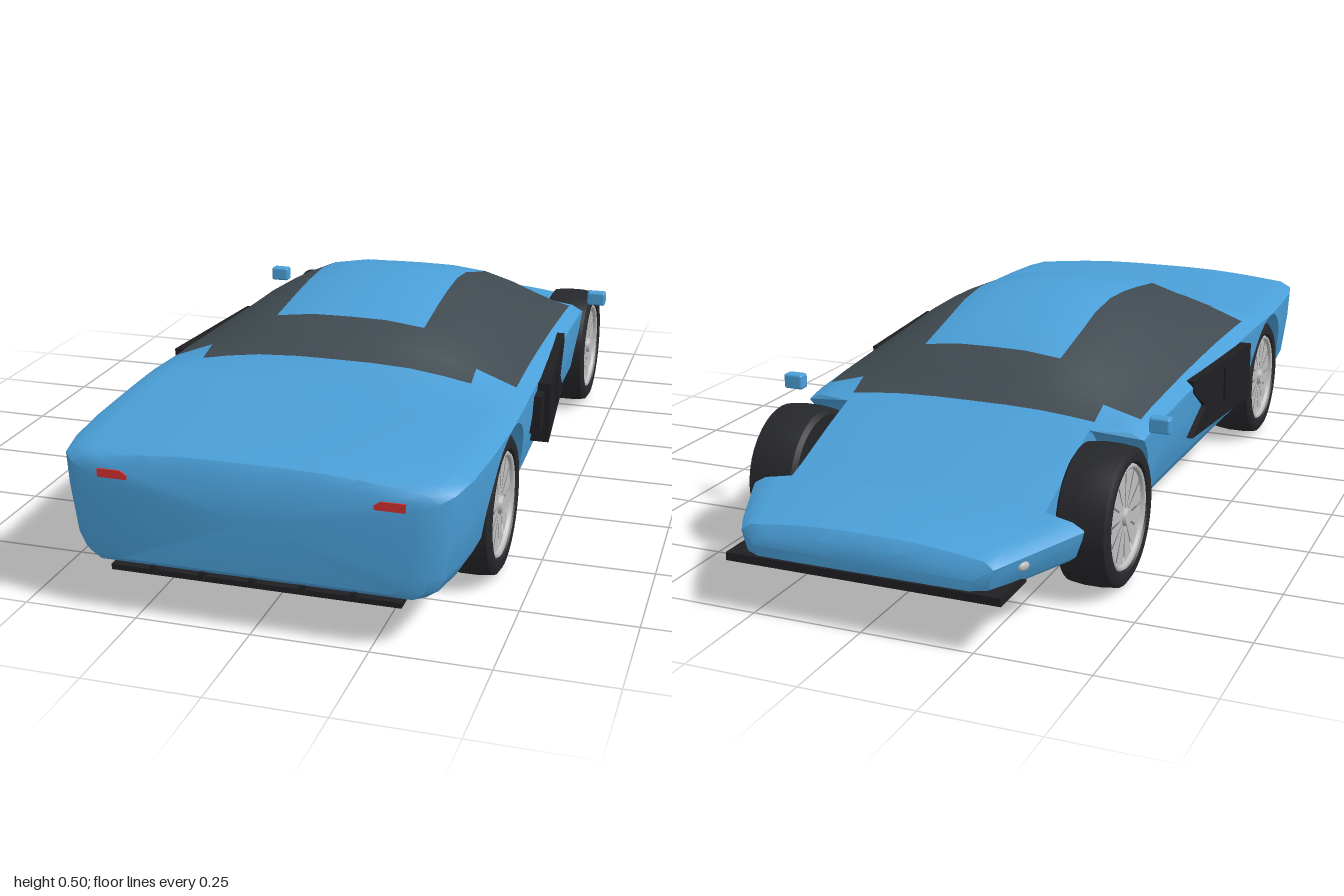
import * as THREE from 'three';
import { toCreasedNormals } from 'three/addons/utils/BufferGeometryUtils.js';
import { RoundedBoxGeometry } from 'three/addons/geometries/RoundedBoxGeometry.js';

const mat = (name, color) => {
  const m = new THREE.MeshStandardMaterial({ color });
  m.name = name;
  return m;
};

// Body stations: z, half width, shoulder height, top height, underside
const KEYS = [
  [-0.992, 0.25, 0.165, 0.185, 0.118], [-0.975, 0.285, 0.185, 0.205, 0.112],
  [-0.93, 0.31, 0.19, 0.212, 0.11], [-0.756, 0.39, 0.198, 0.22, 0.11],
  [-0.7, 0.4, 0.215, 0.24, 0.11], [-0.57, 0.41, 0.27, 0.288, 0.11],
  [-0.455, 0.418, 0.305, 0.335, 0.11], [-0.4, 0.42, 0.315, 0.375, 0.11],
  [-0.33, 0.422, 0.32, 0.43, 0.11], [-0.2, 0.425, 0.327, 0.465, 0.11],
  [-0.1, 0.427, 0.332, 0.493, 0.11], [0, 0.43, 0.337, 0.505, 0.11],
  [0.1, 0.432, 0.342, 0.5, 0.11], [0.2, 0.434, 0.346, 0.488, 0.11],
  [0.325, 0.438, 0.35, 0.47, 0.11], [0.39, 0.44, 0.352, 0.44, 0.11],
  [0.445, 0.442, 0.353, 0.405, 0.11], [0.52, 0.443, 0.352, 0.372, 0.11],
  [0.6, 0.443, 0.35, 0.366, 0.11], [0.75, 0.437, 0.35, 0.369, 0.11],
  [0.87, 0.427, 0.348, 0.37, 0.11], [0.95, 0.41, 0.345, 0.368, 0.11],
  [0.975, 0.385, 0.335, 0.36, 0.113], [0.987, 0.34, 0.32, 0.342, 0.125],
];
// Upper section: fraction of half width, fraction of rise above the shoulder
const DOME = [[0, 1], [0.2, 0.99], [0.407, 0.9], [0.58, 0.7], [0.72, 0.48], [0.84, 0.25], [0.93, 0.08]];
const AXLES = [-0.575, 0.575], ARCH = 0.18, WHEEL_Y = 0.155;

function keyAt(z) {
  let i = 0;
  while (i < KEYS.length - 2 && KEYS[i + 1][0] < z) i++;
  const t = THREE.MathUtils.clamp((z - KEYS[i][0]) / (KEYS[i + 1][0] - KEYS[i][0]), 0, 1);
  return KEYS[i].map((v, k) => v + (KEYS[i + 1][k] - v) * t);
}

// Half section from top centre round to bottom centre, cut by the wheel arch
function section(z, axle) {
  const [, w, s, t, b] = keyAt(z);
  const raw = DOME.map(([f, d]) => [f * w, s + d * (t - s)]);
  raw.push([w, s - 0.014], [0.99 * w, s - 0.35 * (s - b)], [0.955 * w, b + 0.2 * (s - b)],
    [0.92 * w, b + 0.07 * (s - b)], [0.86 * w, b]);
  const xi = Math.min(0.3, 0.8 * w);
  if (axle === null) return [...raw, [xi, b], [xi, b], [0, b]];
  const h = WHEEL_Y + Math.sqrt(Math.max(0, ARCH * ARCH - (z - axle) ** 2));
  let cut = null;
  const pts = raw.map((p, i) => {
    if (!cut && p[0] > xi && p[1] < h) {
      const q = raw[i - 1];
      let k = q[1] > h ? (q[1] - h) / (q[1] - p[1]) : 0;
      if (q[0] < xi) k = Math.max(k, (xi - q[0]) / (p[0] - q[0]));
      cut = [q[0] + (p[0] - q[0]) * k, q[1] + (p[1] - q[1]) * k];
    }
    return cut || p;
  });
  return [...pts, [xi, Math.min(h, cut ? cut[1] : b)], [xi, b], [0, b]];
}

function bodyGeometry() {
  const stations = [];
  for (const a of AXLES) {
    stations.push([a - ARCH - 1e-4, null], [a + ARCH + 1e-4, null]);
    for (let i = 0; i <= 18; i++) stations.push([a - ARCH * Math.cos(i / 18 * Math.PI), a]);
  }
  for (const [z] of KEYS) {
    const a = AXLES.find(c => Math.abs(z - c) < ARCH);
    stations.push([z, a === undefined ? null : a]);
  }
  stations.sort((p, q) => p[0] - q[0]);

  const pos = [], faces = [[], []];
  const n = section(0, null).length, last = stations.length - 1;
  for (const side of [1, -1]) {
    const base = pos.length / 3;
    const tri = (m, a, b, c) => faces[m].push(...(side > 0 ? [a, b, c] : [a, c, b]));
    for (const [z, a] of stations) for (const [x, y] of section(z, a)) pos.push(side * x, y, z);
    for (let i = 0; i < last; i++) {
      const z = (stations[i][0] + stations[i + 1][0]) / 2;
      for (let j = 0; j < n - 1; j++) {
        // Glass covers the cabin except for the roof panel
        const roof = j < 2 && z > -0.33 && z < 0.325;
        const glass = (j < 4 && z > -0.455 && z < 0.445) || (j < 6 && z > -0.4 && z < 0.39);
        const m = glass && !roof ? 1 : 0;
        const p = base + i * n + j, q = p + n;
        tri(m, p, q, p + 1);
        tri(m, p + 1, q, q + 1);
      }
    }
    // Nose and tail caps
    const c = pos.length / 3;
    pos.push(0, 0.15, -0.996, 0, 0.24, 0.992);
    for (let j = 0; j < n - 1; j++) {
      tri(0, c, base + j, base + j + 1);
      tri(0, c + 1, base + last * n + j + 1, base + last * n + j);
    }
  }
  const g = new THREE.BufferGeometry();
  g.setAttribute('position', new THREE.Float32BufferAttribute(pos, 3));
  g.setIndex([...faces[0], ...faces[1]]);
  g.addGroup(0, faces[0].length, 0);
  g.addGroup(faces[0].length, faces[1].length, 1);
  return toCreasedNormals(g, 0.6);
}

export function createModel() {
  const paint = mat('blue paint', 0x4a9fd8), glass = mat('dark glass', 0x3f4a50);
  const black = mat('black trim', 0x1f1f23), rubber = mat('tyre rubber', 0x26272b);
  const silver = mat('silver rim', 0xbdbdbd), gap = mat('rim gap grey', 0x707070);
  const red = mat('red lamp', 0xd22f2f);
  const car = new THREE.Group();
  car.name = 'car';
  const add = (name, geo, m, x = 0, y = 0, z = 0, parent = car) => {
    const mesh = new THREE.Mesh(geo, m);
    mesh.name = name;
    mesh.position.set(x, y, z);
    parent.add(mesh);
    return mesh;
  };
  const box = (w, h, d) => new THREE.BoxGeometry(w, h, d);
  const outline = pts => new THREE.Shape(pts.map(p => new THREE.Vector2(...p)));

  add('body', bodyGeometry(), [paint, glass]);

  // Front splitter, rear diffuser and its fins
  add('frontSplitter', box(0.62, 0.018, 0.13), black, 0, 0.118, -0.935);
  add('rearDiffuser', box(0.62, 0.012, 0.21), black, 0, 0.097, 0.87);
  for (let i = -2; i <= 2; i++) add('diffuserFin', box(0.012, 0.015, 0.2), black, i * 0.107, 0.108, 0.885);

  // Wheels
  const lathe = pts => new THREE.LatheGeometry(pts.map(p => new THREE.Vector2(...p)), 40);
  const tyre = toCreasedNormals(lathe([[0, -0.05], [0.11, -0.055], [0.14, -0.06], [0.152, -0.052], [0.156, -0.02],
    [0.156, 0.02], [0.152, 0.052], [0.14, 0.06], [0.122, 0.058], [0.113, 0.045]]), 0.7);
  const lip = lathe([[0.117, 0.05], [0.113, 0.056], [0.106, 0.052], [0.104, 0.035]]);
  const disc = lathe([[0.108, 0.038], [0, 0.038]]);
  const sector = Math.PI / 6;
  const spoke = new THREE.CylinderGeometry(0.107, 0.107, 0.01, 4, 1, false, 0, sector * 0.86);
  const hub = new THREE.CylinderGeometry(0.018, 0.022, 0.016, 16);
  for (const z of AXLES) for (const side of [1, -1]) {
    const wheel = new THREE.Group();
    wheel.name = (z < 0 ? 'nose' : 'tail') + 'Wheel';
    wheel.position.set(side * 0.37, WHEEL_Y + 0.001, z);
    wheel.rotation.z = -side * Math.PI / 2;
    add('tyre', tyre, rubber, 0, 0, 0, wheel);
    add('rimLip', lip, silver, 0, 0, 0, wheel);
    add('rimDisc', disc, gap, 0, 0, 0, wheel);
    add('hub', hub, silver, 0, 0.047, 0, wheel);
    for (let i = 0; i < 12; i++) add('spoke', spoke, silver, 0, 0.041, 0, wheel).rotation.y = i * sector;
    car.add(wheel);
  }

  // Side scoop: outline drawn in (-z, y), flaring outwards towards the tail
  const scoop = new THREE.ExtrudeGeometry(outline([[-0.275, 0.19], [0.115, 0.19], [0.03, 0.25], [0.115, 0.305],
    [0.115, 0.333], [-0.275, 0.333]]), { depth: 1, bevelEnabled: false });
  scoop.rotateY(Math.PI / 2);
  const p = scoop.attributes.position;
  for (let i = 0; i < p.count; i++) {
    const flare = 0.428 + (p.getZ(i) + 0.115) * 0.095;
    p.setX(i, p.getX(i) > 0.5 ? flare : 0.395);
  }
  scoop.computeVertexNormals();
  const lamp = new THREE.ExtrudeGeometry(outline([[0.258, 0.302], [0.322, 0.302], [0.322, 0.32], [0.272, 0.32],
    [0.258, 0.311]]), { depth: 0.009, bevelEnabled: false });

  // Parts mirrored on both sides
  for (const side of [1, -1]) {
    const half = new THREE.Group();
    half.name = side > 0 ? 'leftDetails' : 'rightDetails';
    half.scale.x = side;
    add('sideScoop', scoop, black, 0, 0, 0, half);
    add('scoopTail', box(0.03, 0.09, 0.05), black, 0.437, 0.27, 0.295, half);
    add('scoopStrut', box(0.008, 0.085, 0.03), black, 0.449, 0.272, 0.1, half).rotation.y = 0.095;
    add('mirror', new RoundedBoxGeometry(0.048, 0.036, 0.03, 2, 0.006), paint, 0.455, 0.332, -0.455, half);
    add('tailLamp', lamp, red, 0, 0, 0.982, half);
    const marker = add('sideLamp', new THREE.SphereGeometry(0.012, 12, 8), silver, 0.319, 0.158, -0.905, half);
    marker.scale.set(0.5, 0.8, 1.2);
    marker.rotation.y = 0.42;
    car.add(half);
  }
  return car;
}
